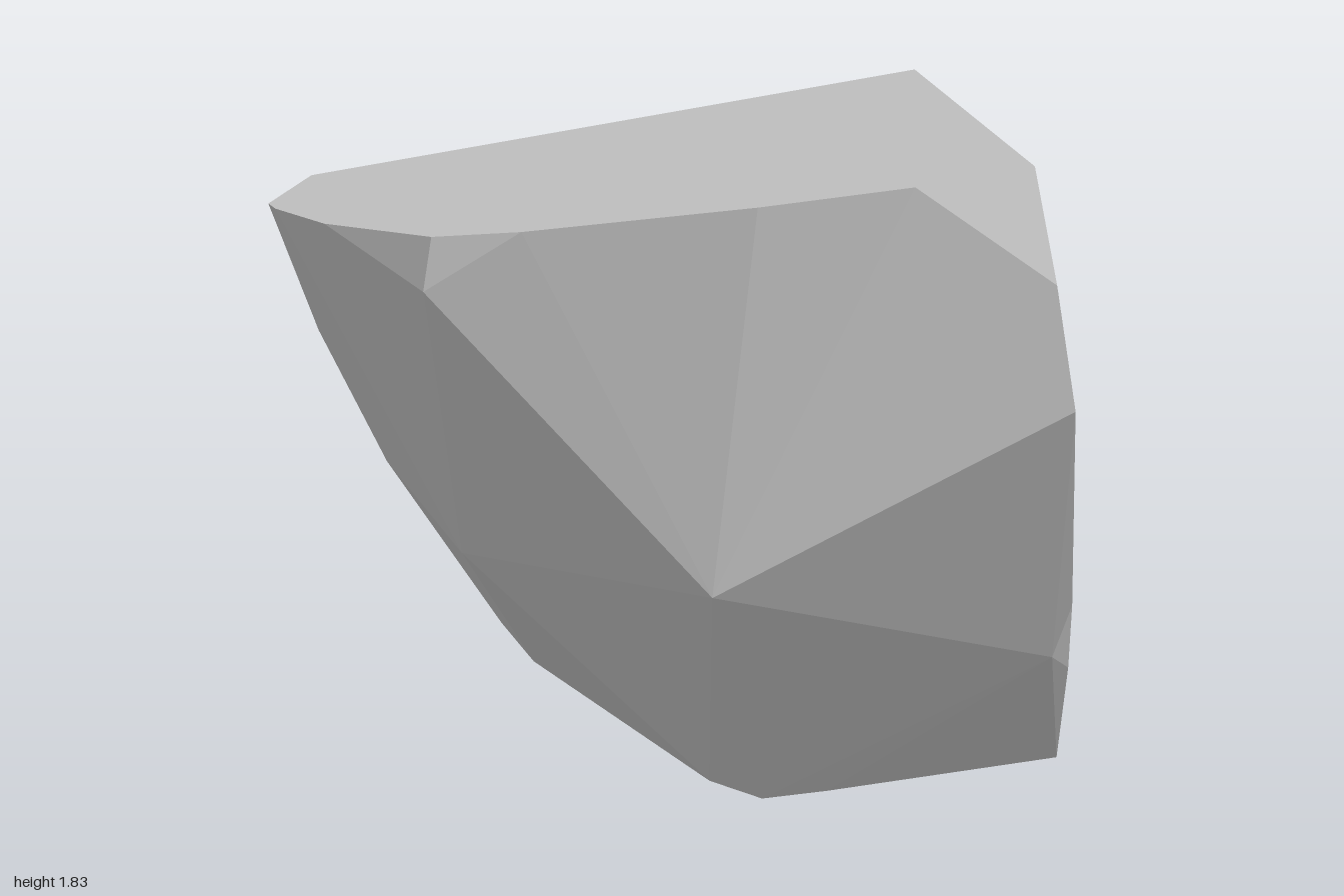
import * as THREE from 'three';
import { ConvexGeometry } from 'three/addons/geometries/ConvexGeometry.js';

// The three broad cleavage planes of the rock
const onTop = (x, z) => new THREE.Vector3(x, 1.602 + 0.1315 * x + 0.191 * z, z);
const onSide = (y, z) => new THREE.Vector3(0.9165 - 0.157 * y - 0.1195 * z, y, z);
const onBack = (x, y) => new THREE.Vector3(x, y, -0.707 + 0.18 * x - 0.1092 * y);
const at = (x, y, z) => new THREE.Vector3(x, y, z);

export function createModel() {
  const group = new THREE.Group();
  group.name = 'rock';
  const stone = new THREE.MeshStandardMaterial({ color: 0xc8c8c8 });
  stone.name = 'light grey stone';

  const corners = [
    // rim of the sloping top
    onTop(0.53, 0.83), onTop(0.76, -0.74), onTop(-0.84, -1), onTop(-0.98, -0.68),
    onTop(-0.97, -0.58), onTop(-0.88, -0.22), onTop(-0.68, 0.23), onTop(-0.5, 0.39),
    onTop(-0.03, 0.66), onTop(0.28, 0.79),
    // front edge of the broad side
    onSide(1.6, 0.94), onSide(1.33, 1), onSide(0.7, 0.72), onSide(0.45, 0.58), onSide(0, 0.27),
    // outer edge of the back
    onBack(-0.85, 0.87), onBack(-0.69, 0.49), onBack(-0.4, 0), onBack(0.98, 0),
    // chipped front and left
    at(-0.71, 1.445, 0.28), at(-0.15, 0.84, 0.75), at(0.71, 0.52, 0.64), at(-0.59, 0.56, -0.145),
    // remaining corners of the base
    at(-0.35, 0, -0.54), at(-0.02, 0, 0.177), at(0.09, 0, 0.29), at(0.26, 0, 0.292),
  ];

  const body = new THREE.Mesh(new ConvexGeometry(corners), stone);
  body.name = 'rockBody';
  group.add(body);
  return group;
}
